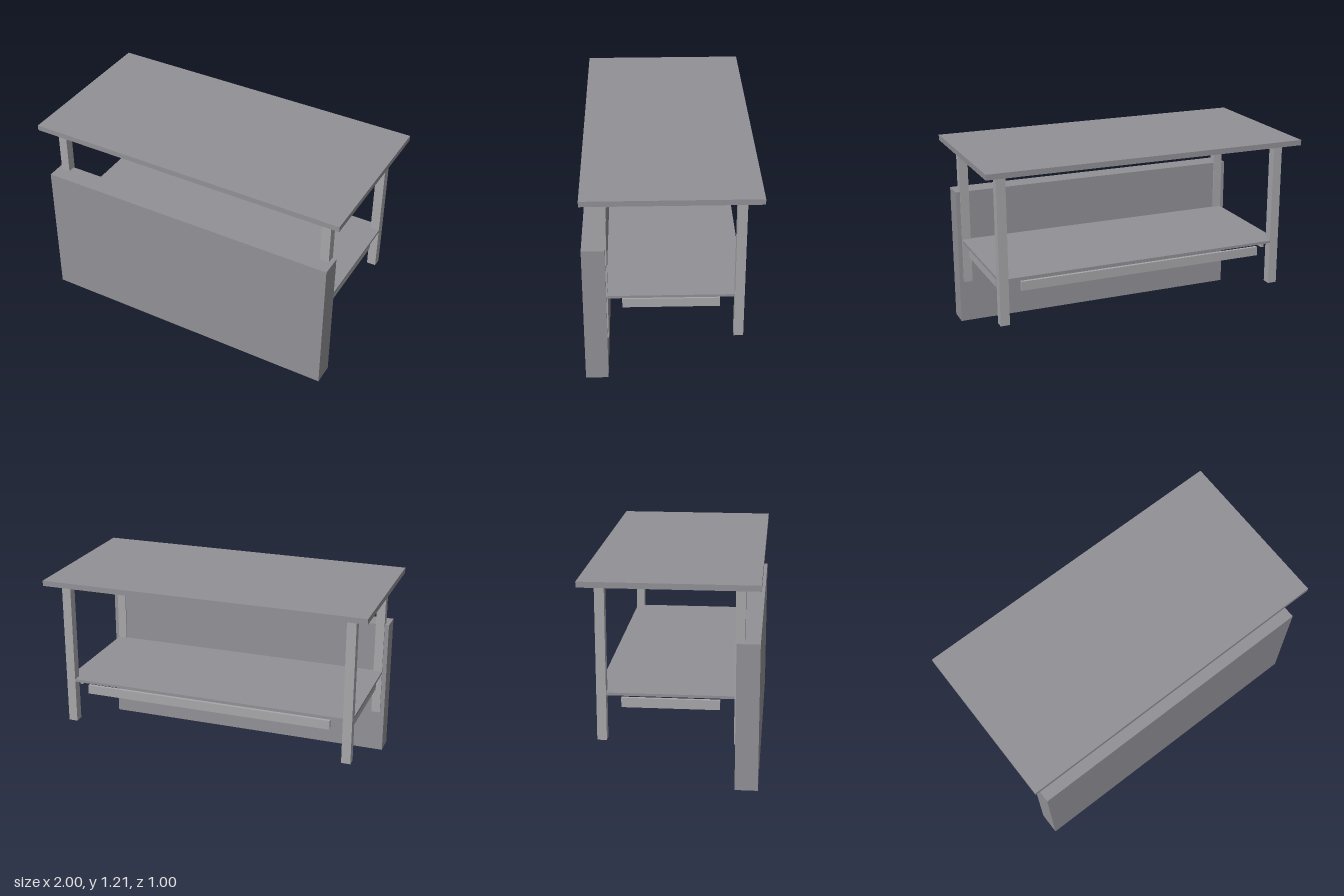
import * as THREE from 'three';

// Darker boards, lighter frame
const board = new THREE.MeshStandardMaterial({ color: 0x919096, flatShading: true });
const frame = new THREE.MeshStandardMaterial({ color: 0xa7a6aa, flatShading: true });

export function createModel() {
  const model = new THREE.Group();

  const add = (name, geometry, material) => {
    const mesh = new THREE.Mesh(geometry, material);
    mesh.name = name;
    model.add(mesh);
    return mesh;
  };
  // Box given by its limits on each axis
  const box = (name, material, [x0, x1], [y0, y1], [z0, z1]) =>
    add(name, new THREE.BoxGeometry(x1 - x0, y1 - y0, z1 - z0), material)
      .position.set((x0 + x1) / 2, (y0 + y1) / 2, (z0 + z1) / 2);

  // Table top and the deep front panel
  box('tableTop', board, [-1, 1], [1.179, 1.212], [-0.5, 0.5]);
  box('frontPanel', board, [-0.944, 0.944], [0, 0.867], [0.368, 0.5]);

  // Four square legs, ending above the ground
  const outX = 0.918, inX = 0.862, outZ = 0.415, inZ = 0.36;
  const legBottom = 0.268, legTop = 1.179;
  for (const sx of [-1, 1]) {
    for (const sz of [-1, 1]) {
      add('leg', new THREE.BoxGeometry(outX - inX, legTop - legBottom, outZ - inZ), frame)
        .position.set(sx * (outX + inX) / 2, (legTop + legBottom) / 2, sz * (outZ + inZ) / 2);
    }
  }

  // Shelf, notched at the corners around the legs
  const outline = [];
  for (const [sx, sz] of [[1, 1], [-1, 1], [-1, -1], [1, -1]]) {
    const corner = [[outX, inZ], [inX, inZ], [inX, outZ]]
      .map(([x, z]) => new THREE.Vector2(sx * x, sz * z));
    outline.push(...(sx * sz > 0 ? corner : corner.reverse()));
  }
  const shelf = new THREE.ExtrudeGeometry(new THREE.Shape(outline), { depth: 0.016, bevelEnabled: false });
  shelf.rotateX(-Math.PI / 2);
  add('shelf', shelf, board).position.y = 0.538;

  // Thin rails below the shelf
  const railY = [0.463, 0.519];
  box('backRail', frame, [-0.78, 0.78], railY, [-0.4, -0.38]);
  for (const sx of [-1, 1]) {
    box('sideRail', frame, [sx * 0.89 - 0.01, sx * 0.89 + 0.01], railY, [-0.277, 0.279]);
  }

  // Small pull on the back of the panel
  const pull = new THREE.CylinderGeometry(0.008, 0.008, 0.095, 12);
  pull.rotateZ(Math.PI / 2);
  add('panelPull', pull, board).position.set(0, 0.434, 0.362);

  return model;
}
